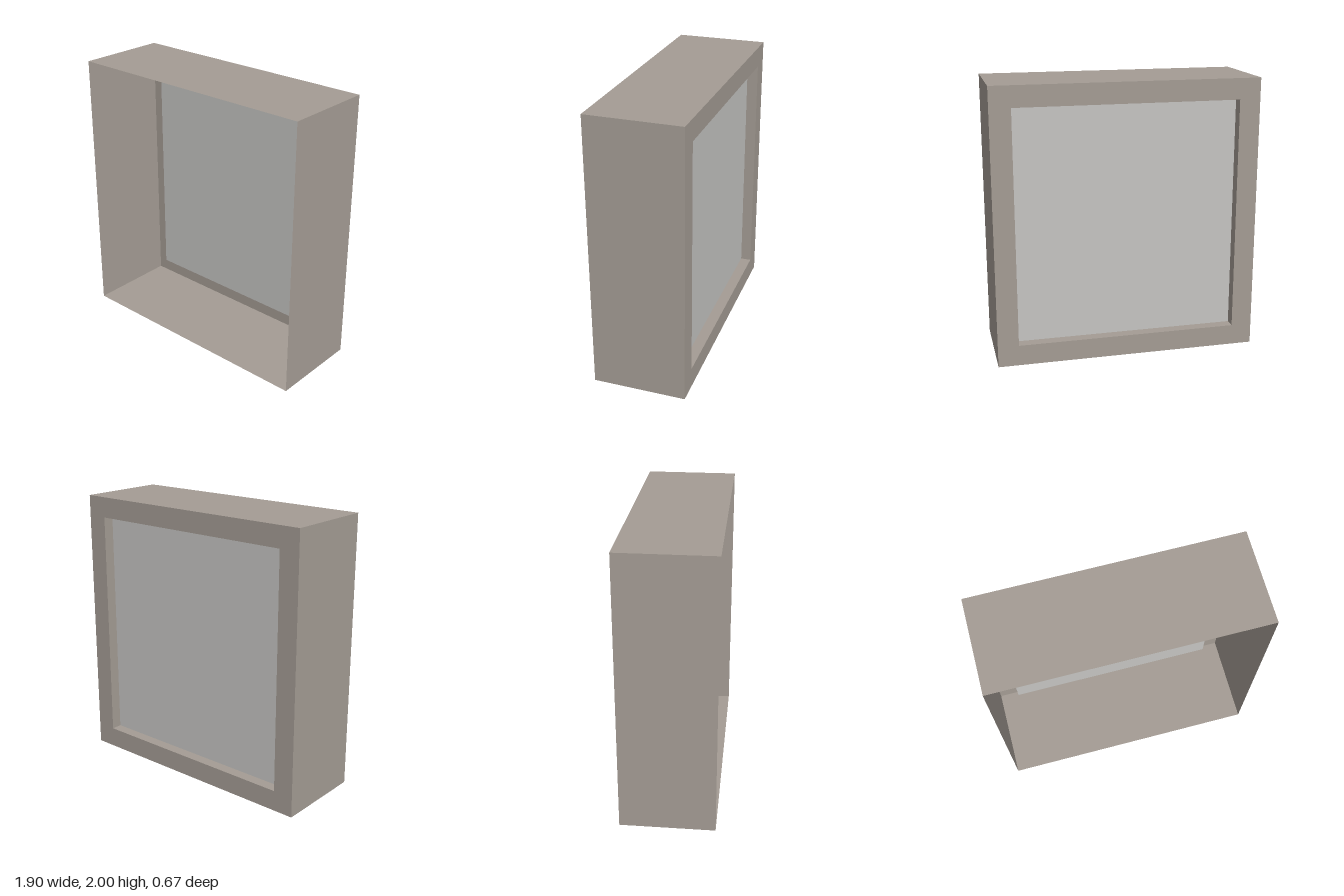
import * as THREE from 'three';

const W = 1.9, H = 2, D = 0.67;      // outer casing
const PW = 1.6, PH = 1.7;            // window opening
const RECESS = 0.08;                 // pane set in from the back

const casing = new THREE.MeshStandardMaterial({ color: 0xa49c94, side: THREE.DoubleSide });
casing.name = 'warm grey casing';
const glass = new THREE.MeshStandardMaterial({ color: 0xc5c4c2, side: THREE.DoubleSide });
glass.name = 'pale grey pane';

// Four thin sheets around a rectangle, running along z; dir 1 faces outward, -1 inward
function sleeve(name, w, h, depth, z, dir) {
  const group = new THREE.Group();
  group.name = name;
  for (const s of [-1, 1]) {
    const side = new THREE.Mesh(new THREE.PlaneGeometry(depth, h), casing);
    side.name = s > 0 ? 'leftSide' : 'rightSide';
    side.position.x = s * w / 2;
    side.rotation.y = s * dir * Math.PI / 2;
    const level = new THREE.Mesh(new THREE.PlaneGeometry(w, depth), casing);
    level.name = s > 0 ? 'topSide' : 'bottomSide';
    level.position.y = s * h / 2;
    level.rotation.x = -s * dir * Math.PI / 2;
    group.add(side, level);
  }
  group.position.set(0, H / 2, z);
  return group;
}

function rectangle(path, w, h) {
  path.moveTo(-w / 2, -h / 2);
  path.lineTo(w / 2, -h / 2);
  path.lineTo(w / 2, h / 2);
  path.lineTo(-w / 2, h / 2);
  path.closePath();
  return path;
}

export function createModel() {
  const model = new THREE.Group();
  model.name = 'windowBox';

  // Open-fronted casing and the short reveal around the opening
  model.add(sleeve('casing', W, H, D, 0, 1));
  model.add(sleeve('reveal', PW, PH, RECESS, -D / 2 + RECESS / 2, -1));

  // Back border with the opening cut out
  const shape = rectangle(new THREE.Shape(), W, H);
  shape.holes.push(rectangle(new THREE.Path(), PW, PH));
  const border = new THREE.Mesh(new THREE.ShapeGeometry(shape), casing);
  border.name = 'backBorder';
  border.position.set(0, H / 2, -D / 2);
  border.rotation.y = Math.PI;
  model.add(border);

  // Recessed pane
  const pane = new THREE.Mesh(new THREE.PlaneGeometry(PW, PH), glass);
  pane.name = 'pane';
  pane.position.set(0, H / 2, -D / 2 + RECESS);
  pane.rotation.y = Math.PI;
  model.add(pane);

  return model;
}
